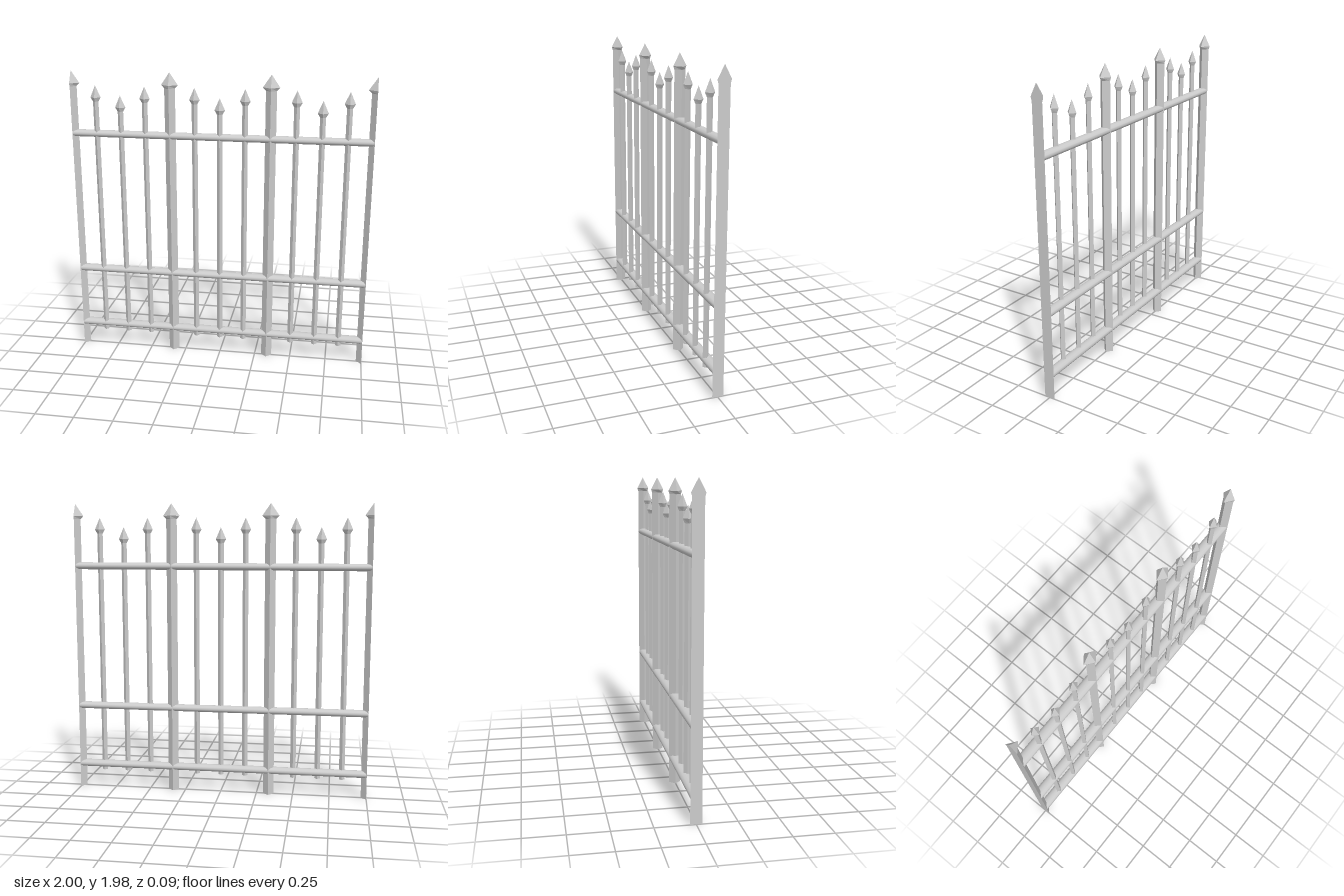
import * as THREE from 'three';

const flat = new THREE.MeshStandardMaterial({ color: 0xcccccc, flatShading: true });
const smooth = new THREE.MeshStandardMaterial({ color: 0xcccccc });

// Four-sided bar with its ridges on the x and z axes, topped by a pointed finial.
// cut: +1 or -1 slices it flat at x = 0 and keeps only the opposite half.
function spearBar({ bottom, neck, wide, tip, radius, flare, depth, cut = 0 }) {
  const profile = [[0, bottom], [radius, bottom], [radius, neck], [flare, wide], [0, tip]]
    .map(([r, y]) => new THREE.Vector2(r, y));
  const geo = new THREE.LatheGeometry(profile, 4);
  const pos = geo.attributes.position;
  for (let i = 0; i < pos.count; i++) {
    if (pos.getY(i) > neck + 0.001) pos.setZ(i, pos.getZ(i) * depth / flare);
    if (pos.getX(i) * cut > 0) pos.setX(i, 0);
  }
  geo.computeVertexNormals();
  return geo;
}

export function createModel() {
  const group = new THREE.Group();
  const add = (name, geo, mat, x, y, z) => {
    const mesh = new THREE.Mesh(geo, mat);
    mesh.name = name;
    mesh.position.set(x, y, z);
    group.add(mesh);
  };

  // Thick posts; the two at the ends are halved
  const post = { bottom: 0, neck: 1.877, wide: 1.898, tip: 1.98, radius: 0.036, flare: 0.056, depth: 0.043 };
  for (const side of [-1, 1]) {
    add('post', spearBar(post), flat, side / 3, 0, -0.001);
    add('endPost', spearBar({ ...post, cut: side }), flat, side, 0, -0.001);
  }

  // Thin pickets, three to a bay, the middle one shorter
  for (let i = -5; i <= 5; i++) {
    if (Math.abs(i) === 2) continue;
    const drop = i === 0 || Math.abs(i) === 4 ? 0.063 : 0;
    const geo = spearBar({
      bottom: 0.12, neck: 1.78 - drop, wide: 1.807 - drop, tip: 1.886 - drop,
      radius: 0.019, flare: 0.035, depth: 0.031,
    });
    add('picket', geo, flat, i / 6, 0, 0.011);
  }

  // Rounded horizontal rails
  const railGeo = new THREE.CylinderGeometry(1, 1, 1.998, 12)
    .rotateZ(Math.PI / 2)
    .scale(1, 0.024, 0.036);
  for (const y of [0.166, 0.587, 1.562]) add('rail', railGeo, smooth, 0, y, -0.001);

  return group;
}
